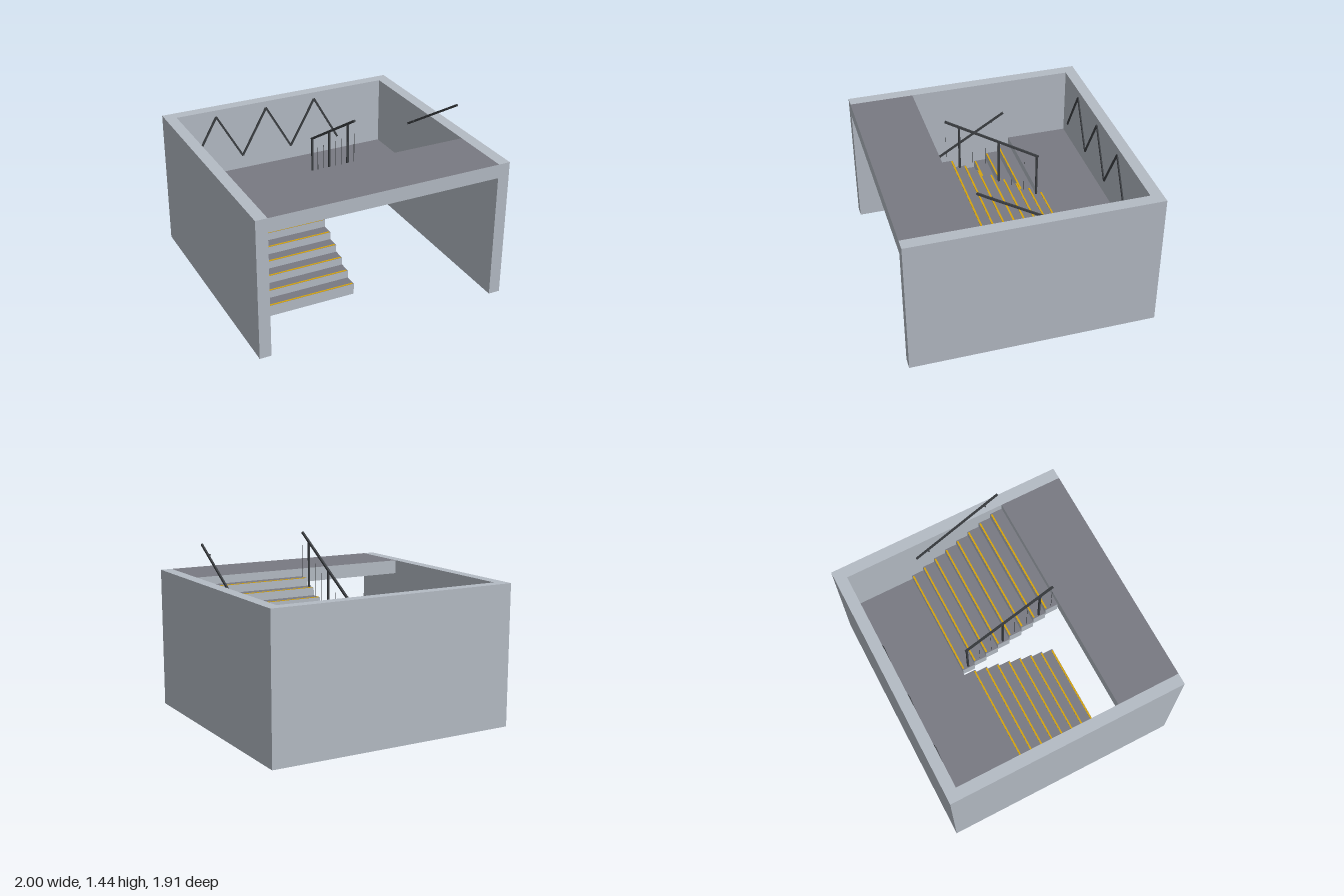
import * as THREE from 'three';

export function createModel() {
  const model = new THREE.Group();
  model.name = 'stairwell';

  const mat = (name, color) => {
    const m = new THREE.MeshStandardMaterial({ color });
    m.name = name;
    return m;
  };
  const concrete = mat('light concrete', 0xb4bbc4);
  const floor = mat('dark floor', 0x797a82);
  const yellow = mat('yellow nosing', 0xd6a40c);
  const steel = mat('dark steel', 0x3c3f43);
  const thinSteel = mat('thin dark steel', 0x3c3f43);
  thinSteel.side = THREE.DoubleSide;

  // concrete body with a dark walking surface on top
  const paved = [concrete, concrete, floor, concrete, concrete, concrete];

  // box given by its limits on each axis
  function box(name, material, [x0, x1], [y0, y1], [z0, z1], parent = model) {
    const mesh = new THREE.Mesh(new THREE.BoxGeometry(x1 - x0, y1 - y0, z1 - z0), material);
    mesh.position.set((x0 + x1) / 2, (y0 + y1) / 2, (z0 + z1) / 2);
    mesh.name = name;
    parent.add(mesh);
    return mesh;
  }

  // square bar between two points
  function bar(name, a, b, w, h, parent = model) {
    const p = new THREE.Vector3(...a), q = new THREE.Vector3(...b);
    const mesh = new THREE.Mesh(new THREE.BoxGeometry(w, h, p.distanceTo(q)), steel);
    mesh.position.copy(p).add(q).multiplyScalar(0.5);
    mesh.lookAt(q);
    mesh.name = name;
    parent.add(mesh);
  }

  const L = -0.91, R = 0.908, D = 0.955;
  const FRONT = 0.45, BACK = -0.365, STEPS = 8;
  const TREAD = (FRONT - BACK) / STEPS, RISE = 0.0617, THICK = 0.09;
  const MID = THICK + STEPS * RISE; // height of the middle landing
  const TOP = 1.14;

  // walls
  box('rightWall', concrete, [-1, L], [0.035, TOP], [-D, D]);
  box('leftWall', concrete, [R, 1], [0.035, TOP], [-D, D]);
  box('backWall', concrete, [L, R], [0.035, TOP], [-D, -0.865]);

  // landings
  box('middleLanding', paved, [L, R], [MID - THICK, MID], [-0.865, BACK]);
  box('upperLanding', paved, [L, R], [1.03, TOP], [FRONT, D]);

  // two flights: the lower climbs to the back, the upper climbs to the front
  function flight(name, [x0, x1], firstTop, startZ, dir) {
    const group = new THREE.Group();
    group.name = name;
    for (let i = 0; i < STEPS; i++) {
      const top = firstTop + i * RISE;
      const nose = startZ + dir * i * TREAD;
      const span = (a, b) => [nose + dir * a, nose + dir * b].sort((p, q) => p - q);
      box('step', paved, [x0, x1], [top - THICK, top], span(0, TREAD), group);
      box('nosing', yellow, [x0 + 0.01, x1 - 0.01], [top, top + 0.003], span(0.002, 0.015), group);
    }
    model.add(group);
  }
  flight('lowerFlight', [L, 0], THICK, FRONT, -1);
  flight('upperFlight', [0, R], MID + RISE, BACK, 1);

  // wall handrails with short brackets
  const SLOPE = 0.61;
  function wallRail(name, x, yFront, dir, inward) {
    const group = new THREE.Group();
    group.name = name;
    const yAt = z => yFront + dir * (z - 0.4) * SLOPE;
    bar('handrail', [x, yAt(0.4), 0.4], [x, yAt(-0.31), -0.31], 0.013, 0.016, group);
    for (const z of [0.29, -0.205]) {
      const xs = [x, x + inward * 0.02].sort((p, q) => p - q);
      box('bracket', steel, xs, [yAt(z) - 0.005, yAt(z) + 0.005], [z - 0.005, z + 0.005], group);
    }
    model.add(group);
  }
  wallRail('lowerWallRail', -0.886, 0.424, -1, 1);
  wallRail('upperWallRail', 0.882, 1.398, 1, -1);

  // centre balustrade standing on the upper flight
  const balustrade = new THREE.Group();
  balustrade.name = 'centreBalustrade';
  model.add(balustrade);
  const RX = 0.014;
  const railY = z => 1.437 + (z - 0.4) * SLOPE;
  bar('handrail', [RX, railY(0.4), 0.4], [RX, railY(-0.325), -0.325], 0.016, 0.016, balustrade);
  for (let i = 0; i < STEPS; i++) {
    const z = BACK + (i + 0.5) * TREAD;
    const top = MID + (i + 1) * RISE;
    if (i % 3 === 0) {
      box('post', steel, [RX - 0.007, RX + 0.007], [top, railY(z)], [z - 0.007, z + 0.007], balustrade);
    } else {
      // thin flat baluster
      const slat = new THREE.Mesh(new THREE.PlaneGeometry(0.005, 0.26), thinSteel);
      slat.position.set(RX, top + 0.13, z);
      slat.name = 'baluster';
      balustrade.add(slat);
    }
  }

  // zigzag rail on the back wall
  const zigzag = new THREE.Group();
  zigzag.name = 'zigzagRail';
  model.add(zigzag);
  const corner = i => [-0.8 + i * 0.2175, i % 2 ? 1.085 : 0.7, -0.859];
  for (let i = 0; i < 6; i++) bar('zigzagBar', corner(i), corner(i + 1), 0.01, 0.016, zigzag);

  return model;
}
